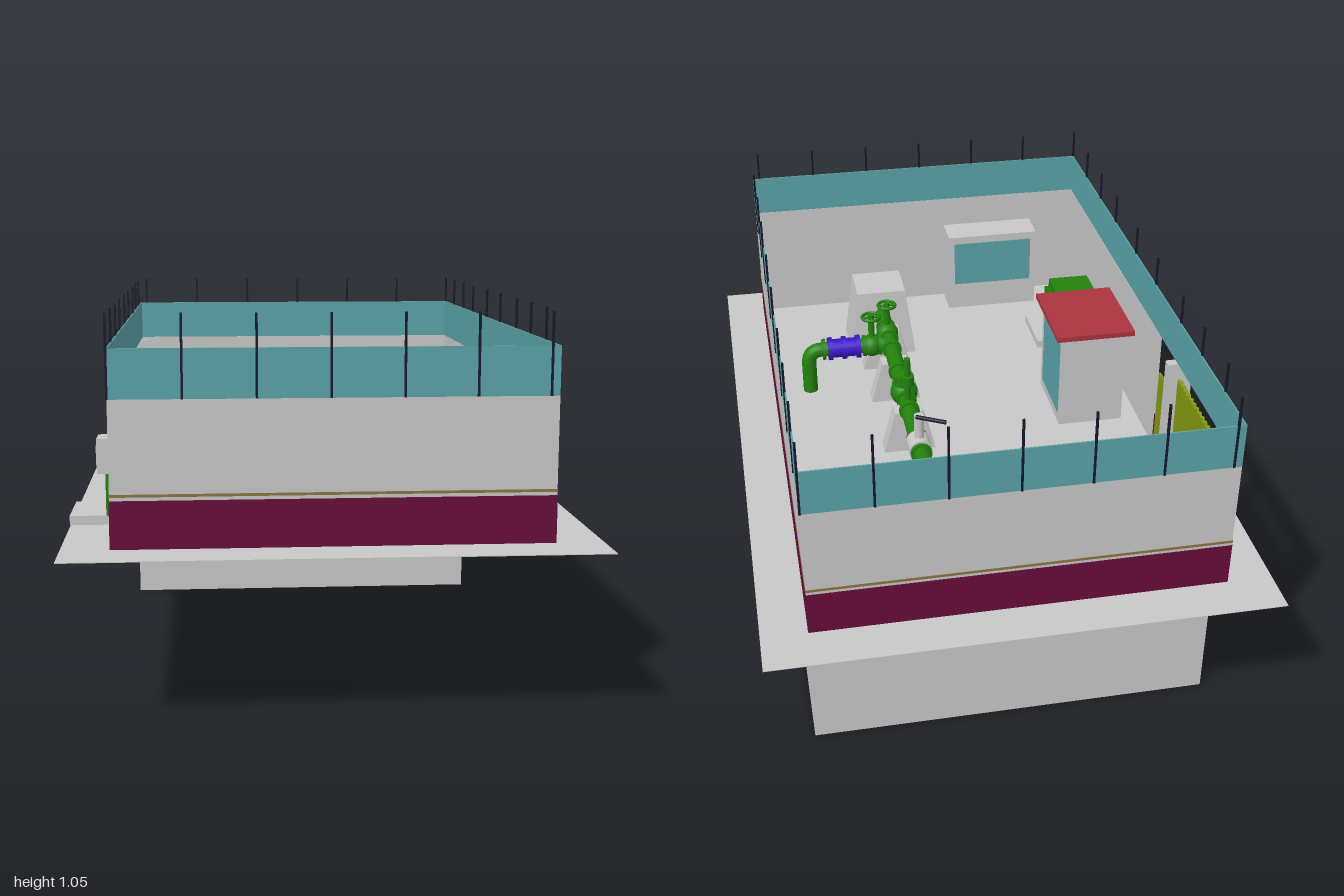
import * as THREE from 'three';

export function createModel() {
  const root = new THREE.Group();
  const paint = (name, color, side = THREE.FrontSide) => {
    const m = new THREE.MeshStandardMaterial({ color, side });
    m.name = name;
    return m;
  };
  const grey = paint('concrete grey', 0xc8c8c8, THREE.DoubleSide);
  const maroon = paint('maroon', 0x660c3a);
  const teal = paint('teal', 0x5aa3a8);
  const dark = paint('dark steel', 0x16162a);
  const green = paint('pipe green', 0x22820c);
  const blue = paint('valve blue', 0x3b14c8);
  const red = paint('roof red', 0xad3340);
  const olive = paint('gate olive', 0x849a10);
  const tan = paint('trim tan', 0x8a7440);

  const add = (name, geo, mat, x = 0, y = 0, z = 0, parent = root) => {
    const m = new THREE.Mesh(geo, mat);
    m.name = name;
    m.position.set(x, y, z);
    parent.add(m);
    return m;
  };
  // box given by its limits
  const box = (name, mat, x0, x1, y0, y1, z0, z1) =>
    add(name, new THREE.BoxGeometry(x1 - x0, y1 - y0, z1 - z0), mat,
      (x0 + x1) / 2, (y0 + y1) / 2, (z0 + z1) / 2);
  // open four-sided frustum, bottom and top sizes given along x and z
  const frustum = (name, x, z, y0, y1, bw, bd, tw, td, cap = true) => {
    const g = new THREE.BoxGeometry(1, y1 - y0, 1).toNonIndexed();
    const p = g.attributes.position;
    for (let i = 0; i < p.count; i++) {
      const top = p.getY(i) > 0;
      p.setX(i, p.getX(i) * (top ? tw : bw));
      p.setZ(i, p.getZ(i) * (top ? td : bd));
    }
    g.computeVertexNormals();
    if (!cap) { // drop the bottom face so the shell is hollow
      const keep = new THREE.BufferGeometry();
      for (const k of ['position', 'normal']) {
        const a = Array.from(g.attributes[k].array);
        a.splice(18 * 3, 6 * 3);
        keep.setAttribute(k, new THREE.Float32BufferAttribute(a, 3));
      }
      return add(name, keep, grey, x, (y0 + y1) / 2, z);
    }
    return add(name, g, grey, x, (y0 + y1) / 2, z);
  };

  // ground slab and buried tank
  const G = 0.465;
  box('groundSlab', grey, -0.685, 0.685, G - 0.002, G, -1, 1);
  box('buriedTank', grey, -0.56, 0.56, 0, G - 0.002, -0.78, -0.45);

  // perimeter walls: grey body, maroon skirt, tan trim, teal screen
  const X = 0.56, Z = 0.877, T = 0.005, E = 0.0015;
  const wall = (x0, x1, z0, z1) => {
    box('wall', grey, x0, x1, G, 0.84, z0, z1);
    const ox = x1 - x0 < z1 - z0 ? E * Math.sign(x0) : 0;
    const oz = ox ? 0 : E * Math.sign(z0);
    box('wallSkirt', maroon, x0 + ox, x1 + ox, G, 0.588, z0 + oz, z1 + oz);
    box('wallTrim', tan, x0 + ox, x1 + ox, 0.597, 0.604, z0 + oz, z1 + oz);
  };
  wall(-X, X, Z - T, Z);
  wall(-X, X, -Z, -Z + T);
  wall(X - T, X, -Z, Z);
  wall(-X, -X + T, -0.2, Z);
  wall(-X, -X + T, -Z, -0.74);
  for (const s of [-1, 1]) {
    box('screen', teal, -X, X, 0.84, 0.965, s * (Z - 0.002) - 0.002, s * (Z - 0.002) + 0.002);
    box('screen', teal, s * (X - 0.002) - 0.002, s * (X - 0.002) + 0.002, 0.84, 0.965, -Z, Z);
  }

  // screen posts
  const post = (x, z) => box('screenPost', dark, x - 0.003, x + 0.003, 0.84, 1.05, z - 0.003, z + 0.003);
  for (let i = 0; i < 7; i++) {
    post(-X + 0.183 * i, Z);
    post(X - 0.183 * i, -Z);
  }
  for (const z of [0.71, 0.53, 0.348, 0.118, -0.09, -0.326, -0.508, -0.695]) {
    post(X, z);
    post(-X, z - 0.02);
  }

  // gate with pillars, ribs and a lower side gate
  for (const z of [-0.755, -0.35]) {
    box('gatePillar', grey, -0.6, -0.528, G, 0.84, z - 0.014, z + 0.014);
    box('pillarSkirt', maroon, -0.602, -0.526, G, 0.588, z - 0.0155, z + 0.0155);
  }
  box('gate', olive, -0.566, -0.56, G + 0.005, 0.79, -0.741, -0.364);
  for (let i = 0; i < 16; i++) {
    const z = -0.735 + i * 0.0235;
    box('gateRib', olive, -0.57, -0.556, G + 0.005, 0.79, z, z + 0.01);
  }
  box('sideGate', olive, -0.566, -0.56, G + 0.005, 0.715, -0.336, -0.2);

  // guard hut
  box('hutBody', grey, -0.5, -0.3, G, 0.772, -0.05, 0.2);
  box('hutRoof', red, -0.52, -0.28, 0.772, 0.788, -0.07, 0.22);
  box('hutWindow', teal, -0.302, -0.297, 0.5, 0.74, -0.03, 0.17);

  // kiosk against the front wall
  box('kiosk', grey, -0.405, -0.095, G, 0.74, 0.762, 0.872);
  box('kioskWindow', teal, -0.385, -0.115, 0.56, 0.715, 0.758, 0.763);

  // electrical cabinet through the wall, on its plinth
  box('cabinetPlinth', grey, -0.685, -0.34, 0.47, 0.495, 0.42, 0.61);
  box('cabinet', green, -0.588, -0.42, 0.495, 0.63, 0.42, 0.61);
  for (let i = 0; i < 9; i++) {
    const z = 0.455 + i * 0.0155;
    box('cabinetFin', green, -0.42, -0.4, 0.51, 0.615, z, z + 0.007);
  }
  box('meterBox', grey, -0.6, -X, 0.63, 0.72, 0.65, 0.73);
  box('meterPanel', grey, -0.603, -0.6, 0.65, 0.7, 0.668, 0.712);

  // pipework
  const V = (x, y, z) => new THREE.Vector3(x, y, z);
  const pipe = (name, pts, r, bend) => {
    const path = new THREE.CurvePath();
    let from = pts[0];
    for (let i = 1; i < pts.length - 1; i++) {
      const c = pts[i];
      const a = c.clone().add(pts[i - 1].clone().sub(c).setLength(bend));
      const b = c.clone().add(pts[i + 1].clone().sub(c).setLength(bend));
      path.add(new THREE.LineCurve3(from, a));
      path.add(new THREE.QuadraticBezierCurve3(a, c, b));
      from = b;
    }
    path.add(new THREE.LineCurve3(from, pts[pts.length - 1]));
    add(name, new THREE.TubeGeometry(path, 120, r, 20), green);
  };
  const rod = (name, mat, axis, r, len, x, y, z) => {
    const m = add(name, new THREE.CylinderGeometry(r, r, len, 20), mat, x, y, z);
    if (axis === 'z') m.rotation.x = Math.PI / 2;
    if (axis === 'x') m.rotation.z = Math.PI / 2;
    return m;
  };
  const PX = 0.18, PY = 0.61;
  pipe('mainPipe', [V(PX, 0, -0.6), V(PX, PY, -0.6), V(PX, PY, 0.71), V(PX, 0.43, 0.71)], 0.025, 0.05);
  rod('pipeEnd', green, 'y', 0.025, 0.01, PX, 0.435, 0.71);
  pipe('branchPipe', [V(PX, PY, 0.3), V(0.445, PY, 0.3), V(0.445, G, 0.3)], 0.023, 0.045);
  for (const z of [-0.49, -0.46, -0.34, -0.26, -0.11, -0.05, 0.04, 0.12, 0.26, 0.33, 0.41, 0.73])
    rod('flange', green, 'z', 0.031, 0.012, PX, PY, z);
  for (const x of [0.215, 0.265, 0.395]) rod('branchFlange', green, 'x', 0.034, 0.01, x, PY, 0.3);

  // valve bodies with handwheels
  const valve = (x, z) => {
    add('valveBody', new THREE.SphereGeometry(0.036, 20, 14), green, x, PY, z);
    rod('valveStem', green, 'y', 0.01, 0.11, x, PY + 0.055, z);
    const w = add('handwheel', new THREE.TorusGeometry(0.028, 0.005, 8, 24), green, x, 0.712, z);
    w.rotation.x = Math.PI / 2;
    rod('wheelSpoke', green, 'x', 0.004, 0.056, x, 0.712, z);
    rod('wheelSpoke', green, 'z', 0.004, 0.056, x, 0.712, z);
  };
  valve(0.24, 0.3);
  valve(PX, 0.37);
  add('teeBody', new THREE.SphereGeometry(0.042, 20, 14), green, PX, PY, 0);
  rod('teeCap', green, 'y', 0.03, 0.06, PX, PY + 0.03, 0);
  rod('airVent', green, 'y', 0.01, 0.165, PX, 0.69, -0.08);
  rod('airVentCollar', green, 'y', 0.02, 0.03, PX, 0.7, -0.08);

  // blue meter on the branch
  rod('branchMeter', blue, 'x', 0.03, 0.1, 0.33, PY, 0.3);
  for (const x of [0.285, 0.33, 0.375]) rod('meterFlange', blue, 'x', 0.037, 0.014, x, PY, 0.3);

  // lever valve
  rod('leverValve', grey, 'z', 0.034, 0.06, PX, PY, -0.3);
  rod('leverStem', grey, 'y', 0.014, 0.1, PX, 0.665, -0.3);
  const lever = rod('lever', dark, 'x', 0.006, 0.09, 0.15, 0.715, -0.33);
  lever.rotation.y = -0.5;

  // pipe saddles reaching below the slab, and the thrust block
  for (const z of [-0.415, -0.08, 0.21, 0.415])
    frustum('pipeSaddle', PX, z, 0.44, 0.6, 0.17, 0.054, 0.085, 0.05, false);
  frustum('thrustBlock', PX, 0.575, G, 0.69, 0.216, 0.19, 0.16, 0.15);

  // drain under the slab
  box('drainBody', grey, 0.1, 0.125, 0.41, G, -0.368, -0.342);
  rod('drainTip', dark, 'y', 0.004, 0.035, 0.113, 0.393, -0.355);

  // pump base with side brackets
  box('pumpBase', green, 0.09, 0.26, G, 0.49, -0.675, -0.54);
  rod('pumpCollar', green, 'y', 0.04, 0.05, PX, 0.51, -0.6);
  for (const s of [-1, 1]) frustum('pumpBracket', PX + s * 0.115, -0.61, G, 0.56, 0.055, 0.185, 0.025, 0.175);

  return root;
}
